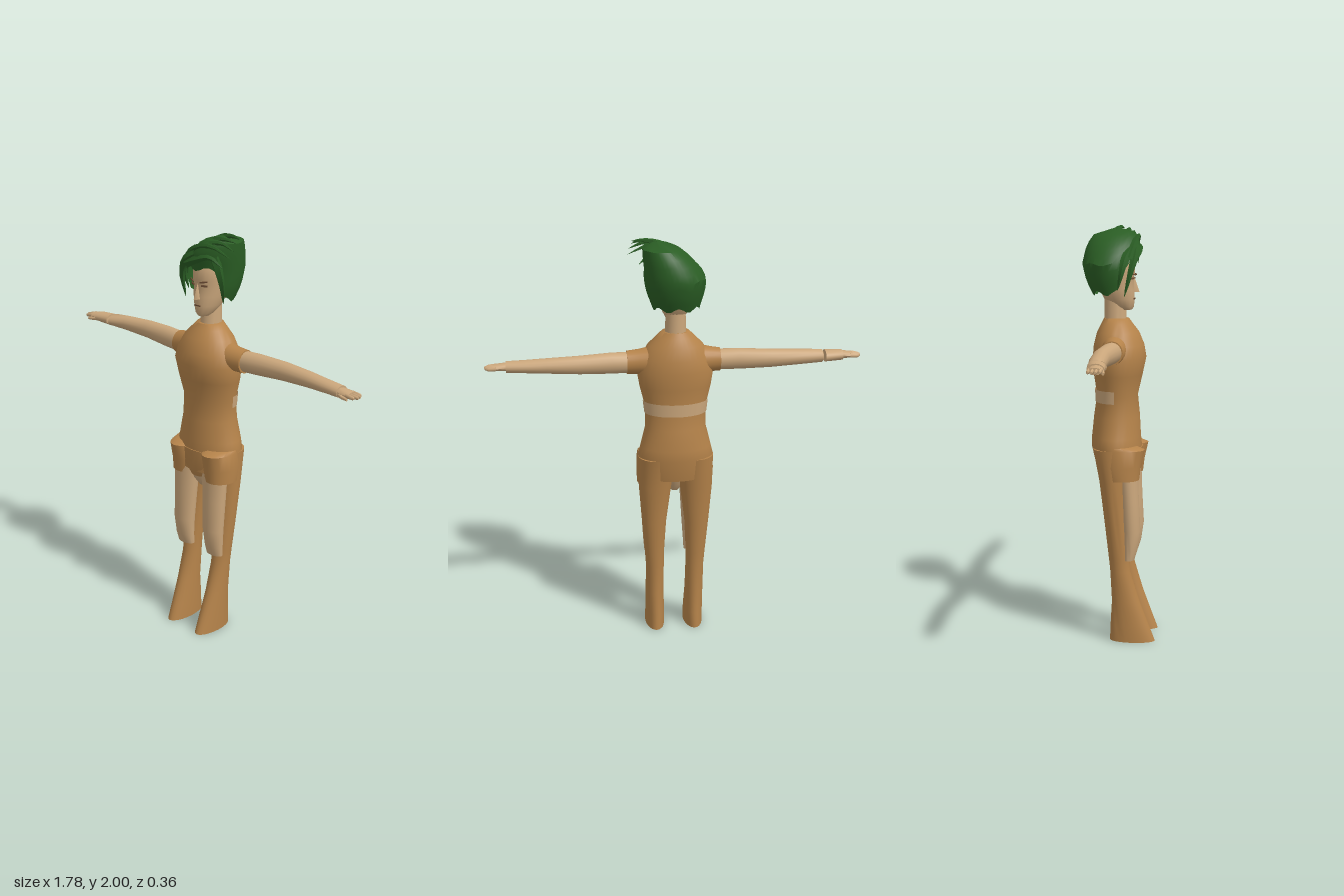
import * as THREE from 'three';
import { toCreasedNormals } from 'three/addons/utils/BufferGeometryUtils.js';

const material = (name, color) => {
  const m = new THREE.MeshStandardMaterial({ color, side: THREE.DoubleSide });
  m.name = name;
  return m;
};

// Lofts ellipses given as [t, u0, u1, v0, v1], t ascending.
// Axis 'y': t, u, v are y, x, z. Axis 'x': t, u, v are x, z, y.
function loft(rows, { axis = 'y', n = 24, from = 0, arc = Math.PI * 2, caps = true, mirror = false } = {}) {
  const pos = [], index = [], s = mirror ? -1 : 1;
  const add = (u, t, v) => {
    if (axis === 'y') pos.push(s * u, t, v); else pos.push(s * t, v, u);
    return pos.length / 3 - 1;
  };
  const ring = ([t, u0, u1, v0, v1]) => {
    for (let j = 0; j <= n; j++) {
      const a = from + arc * j / n;
      add((u0 + u1) / 2 + (u1 - u0) / 2 * Math.cos(a), t, (v0 + v1) / 2 + (v1 - v0) / 2 * Math.sin(a));
    }
  };
  rows.forEach(ring);
  for (let i = 0; i < rows.length - 1; i++) for (let j = 0; j < n; j++) {
    const a = i * (n + 1) + j, c = a + n + 1;
    index.push(a, c, a + 1, a + 1, c, c + 1);
  }
  if (caps) [rows[0], rows[rows.length - 1]].forEach((r, k) => {
    const mid = add((r[1] + r[2]) / 2, r[0], (r[3] + r[4]) / 2), base = mid + 1;
    ring(r);
    for (let j = 0; j < n; j++) index.push(mid, base + j + k, base + j + 1 - k);
  });
  if (mirror) index.reverse();
  const g = new THREE.BufferGeometry();
  g.setAttribute('position', new THREE.Float32BufferAttribute(pos, 3));
  g.setIndex(index);
  return toCreasedNormals(g, 0.9);
}

// Hair cap: its lower edge rises over the face and its outline follows the rows.
function hairCap(rows, n = 36, levels = 9) {
  const at = (y) => {
    let i = 0;
    while (i < rows.length - 2 && y > rows[i + 1][0]) i++;
    const f = (y - rows[i][0]) / (rows[i + 1][0] - rows[i][0]);
    return rows[i].map((v, k) => v + (rows[i + 1][k] - v) * f);
  };
  const top = rows[rows.length - 1][0], pos = [], index = [];
  for (let i = 0; i <= levels; i++) for (let j = 0; j < n; j++) {
    const a = Math.PI * 2 * j / n, c = Math.cos(a), s = Math.sin(a);
    const edge = 1.685 + 0.15 * THREE.MathUtils.smoothstep(s, 0.25, 0.75) + 0.012 * Math.sin(7 * a);
    const y = edge + (top - edge) * i / levels;
    const [, x0, x1, z0, z1] = at(y);
    pos.push((x0 + x1) / 2 + (x1 - x0) / 2 * c, y, (z0 + z1) / 2 + (z1 - z0) / 2 * s);
  }
  for (let i = 0; i < levels; i++) for (let j = 0; j < n; j++) {
    const a = i * n + j, b = i * n + (j + 1) % n;
    index.push(a, a + n, b, b, a + n, b + n);
  }
  const g = new THREE.BufferGeometry();
  g.setAttribute('position', new THREE.Float32BufferAttribute(pos, 3));
  g.setIndex(index);
  return toCreasedNormals(g, 0.6);
}

// Pointed lock of hair: a tube narrowed towards its tip.
function lock(points, r) {
  const curve = new THREE.CatmullRomCurve3(points.map((p) => new THREE.Vector3(...p)));
  const steps = 8, sides = 5, g = new THREE.TubeGeometry(curve, steps, r, sides);
  const p = g.attributes.position, v = new THREE.Vector3();
  for (let i = 0; i < p.count; i++) {
    const t = Math.floor(i / (sides + 1)) / steps, c = curve.getPointAt(t);
    v.fromBufferAttribute(p, i).sub(c).multiplyScalar(0.02 + 0.98 * Math.pow(1 - t, 0.7)).add(c);
    p.setXYZ(i, v.x, v.y, v.z);
  }
  return toCreasedNormals(g, 0.7);
}

export function createModel() {
  const model = new THREE.Group();
  const suit = material('suit brown', 0xb5834a);
  const skin = material('skin', 0xcba77c);
  const green = material('hair green', 0x2a5d24);
  const dark = material('eye brown', 0x6b4c34);
  const add = (name, geometry, mat, parent = model) => {
    const mesh = new THREE.Mesh(geometry, mat);
    mesh.name = name;
    parent.add(mesh);
    return mesh;
  };

  // Body suit
  add('torso', loft([
    [0.84, -0.165, 0.165, -0.11, 0.10], [0.95, -0.182, 0.182, -0.135, 0.105], [1.0, -0.17, 0.17, -0.135, 0.10],
    [1.1, -0.145, 0.145, -0.125, 0.095], [1.2, -0.145, 0.145, -0.11, 0.085], [1.3, -0.17, 0.17, -0.125, 0.108],
    [1.38, -0.183, 0.183, -0.13, 0.125], [1.44, -0.165, 0.165, -0.125, 0.115], [1.5, -0.13, 0.13, -0.11, 0.09],
    [1.54, -0.09, 0.09, -0.09, 0.06], [1.565, -0.065, 0.065, -0.077, 0.042],
  ], { n: 32 }), suit);
  add('backBand', loft([[1.17, -0.149, 0.149, -0.118, 0.09], [1.23, -0.156, 0.156, -0.12, 0.096]],
    { from: Math.PI, arc: Math.PI, caps: false }), skin);
  add('crotch', loft([[0.75, -0.02, 0.02, 0, 0.05], [0.79, -0.045, 0.045, -0.03, 0.08], [0.85, -0.07, 0.07, -0.05, 0.09]]), skin);
  add('frontPanel', loft([[0.81, -0.05, 0.05, 0, 0.09], [0.86, -0.095, 0.095, -0.02, 0.108], [0.95, -0.12, 0.12, -0.02, 0.11]]), suit);

  for (const mirror of [false, true]) {
    const side = mirror ? 'right' : 'left';
    // Leg, boot and bare thigh front
    add(side + 'Leg', loft([
      [0, 0.05, 0.145, -0.04, 0.18], [0.08, 0.05, 0.145, -0.037, 0.15], [0.2, 0.055, 0.145, -0.03, 0.105],
      [0.35, 0.055, 0.145, -0.038, 0.06], [0.42, 0.055, 0.15, -0.045, 0.055], [0.6, 0.045, 0.165, -0.065, 0.045],
      [0.8, 0.02, 0.18, -0.09, 0.045], [0.95, 0.0, 0.182, -0.12, 0.07],
    ], { mirror }), suit);
    add(side + 'Thigh', loft([
      [0.41, 0.05, 0.148, 0.025, 0.08], [0.46, 0.048, 0.152, 0.025, 0.095], [0.55, 0.042, 0.157, 0.02, 0.108],
      [0.7, 0.032, 0.162, 0.01, 0.1], [0.85, 0.02, 0.168, 0, 0.095],
    ], { mirror, caps: false }), skin);
    add(side + 'Shorts', loft([
      [0.805, 0.035, 0.185, -0.07, 0.102], [0.87, 0.025, 0.187, -0.09, 0.11], [0.95, 0.03, 0.184, -0.1, 0.128], [0.965, 0.03, 0.178, -0.1, 0.09],
    ], { mirror }), suit);

    // Sleeve and arm; the right forearm stops short of a loose cuff
    const cut = mirror ? 0.705 : 0.79;
    add(side + 'Sleeve', loft([
      [0.08, -0.085, 0.06, 1.35, 1.5], [0.17, -0.068, 0.04, 1.362, 1.48], [mirror ? 0.21 : 0.23, -0.068, 0.034, 1.364, 1.474],
    ], { axis: 'x', mirror }), suit);
    add(side + 'Arm', loft([
      [0.17, -0.06, 0.033, 1.37, 1.468], [0.3, -0.07, 0.018, 1.371, 1.471], [0.45, -0.08, 0.002, 1.378, 1.465],
      [0.6, -0.074, 0.006, 1.386, 1.457], [0.7, -0.065, 0.013, 1.39, 1.45], [cut, -0.056, 0.018, 1.392, 1.445],
    ], { axis: 'x', n: 16, mirror }), skin);
    if (mirror) add('rightCuff', loft([[0.715, -0.066, 0.016, 1.391, 1.447], [0.8, -0.057, 0.018, 1.395, 1.443]],
      { axis: 'x', n: 16, mirror }), skin);

    // Hand with four fingers and a thumb
    const hand = new THREE.Group();
    hand.name = side + 'Hand';
    model.add(hand);
    add('palm', loft([
      [0.77, -0.042, 0.012, 1.402, 1.44], [0.81, -0.05, 0.014, 1.402, 1.437], [0.85, -0.05, 0.014, 1.406, 1.432],
    ], { axis: 'x', n: 12, mirror }), skin, hand);
    for (let i = 0; i < 4; i++) {
      const z = -0.051 + i * 0.0165, tip = [0.878, 0.888, 0.89, 0.88][i];
      add('finger', loft([[0.835, z, z + 0.017, 1.408, 1.43], [tip - 0.01, z + 0.001, z + 0.015, 1.407, 1.426], [tip, z + 0.004, z + 0.012, 1.411, 1.421]],
        { axis: 'x', n: 8, mirror }), skin, hand);
    }
    add('thumb', loft([[0.79, -0.008, 0.014, 1.403, 1.425], [0.82, 0.006, 0.022, 1.4, 1.418], [0.85, 0.012, 0.024, 1.4, 1.413]],
      { axis: 'x', n: 8, mirror }), skin, hand);
  }

  // Neck and head
  add('neck', loft([[1.55, -0.05, 0.05, -0.075, 0.032], [1.68, -0.046, 0.046, -0.075, 0.025]]), skin);
  const head = new THREE.Group();
  head.name = 'head';
  model.add(head);
  add('skull', loft([
    [1.605, -0.026, 0.026, 0.0, 0.056], [1.62, -0.042, 0.042, -0.04, 0.066], [1.655, -0.06, 0.06, -0.075, 0.068],
    [1.7, -0.071, 0.071, -0.1, 0.068], [1.755, -0.078, 0.078, -0.12, 0.062], [1.775, -0.08, 0.08, -0.125, 0.07],
    [1.83, -0.081, 0.081, -0.125, 0.068], [1.89, -0.065, 0.065, -0.1, 0.05],
  ]), skin, head);
  const nose = add('nose', new THREE.ConeGeometry(0.02, 0.075, 4), skin, head);
  nose.position.set(0, 1.725, 0.066);
  nose.scale.set(0.75, 1, 1.3);
  const plate = (name, w, h, x, y, z, mat, turn = 0, tilt = 0) => {
    const m = add(name, new THREE.BoxGeometry(w, h, 0.006), mat, head);
    m.position.set(x, y, z);
    m.rotation.set(0, turn, tilt);
  };
  for (const s of [-1, 1]) {
    plate('eye', 0.028, 0.008, s * 0.036, 1.753, 0.06, dark, s * 0.5);
    plate('brow', 0.036, 0.006, s * 0.037, 1.772, 0.066, dark, s * 0.5, s * 0.12);
    const ear = add('ear', new THREE.SphereGeometry(0.025, 10, 8), skin, head);
    ear.position.set(s * 0.08, 1.72, -0.035);
    ear.scale.set(0.35, 1.3, 0.8);
  }
  plate('mouth', 0.036, 0.005, 0, 1.657, 0.068, dark);

  // Hair swept up towards one side
  const hair = new THREE.Group();
  hair.name = 'hair';
  model.add(hair);
  add('hairCap', hairCap([
    [1.66, -0.105, 0.1, -0.12, 0.06], [1.74, -0.125, 0.13, -0.16, 0.082], [1.82, -0.135, 0.142, -0.18, 0.085],
    [1.9, -0.085, 0.15, -0.165, 0.095], [1.95, -0.03, 0.153, -0.14, 0.08], [1.98, 0.03, 0.15, -0.1, 0.045],
    [1.988, 0.08, 0.1, -0.03, -0.02],
  ]), green, hair);
  const locks = [
    [[-0.1, 1.84, 0.05], [-0.02, 1.92, 0.07], [0.1, 1.95, 0.08], [0.21, 1.91, 0.07]],
    [[-0.03, 1.9, 0.06], [0.06, 1.95, 0.06], [0.14, 1.965, 0.05], [0.21, 1.94, 0.05]],
    [[0.0, 1.93, 0.02], [0.08, 1.97, 0.03], [0.15, 1.98, 0.03], [0.2, 1.97, 0.02]],
    [[0.03, 1.95, -0.03], [0.09, 1.98, -0.02], [0.15, 1.99, -0.01], [0.2, 1.985, 0]],
    [[-0.06, 1.85, 0.07], [0.02, 1.88, 0.085], [0.1, 1.9, 0.085], [0.16, 1.86, 0.07]],
    [[0.0, 1.9, 0.07], [-0.07, 1.86, 0.075], [-0.11, 1.79, 0.06], [-0.115, 1.67, 0.03]],
    [[-0.05, 1.88, 0.05], [-0.11, 1.84, 0.03], [-0.135, 1.79, 0.02], [-0.125, 1.7, 0.0]],
    [[0.1, 1.9, 0.06], [0.12, 1.83, 0.05], [0.12, 1.76, 0.03], [0.1, 1.67, 0.0]],
  ];
  locks.forEach((points, i) => add('hairLock', lock(points, i < 4 ? 0.02 : 0.025), green, hair));

  return model;
}
